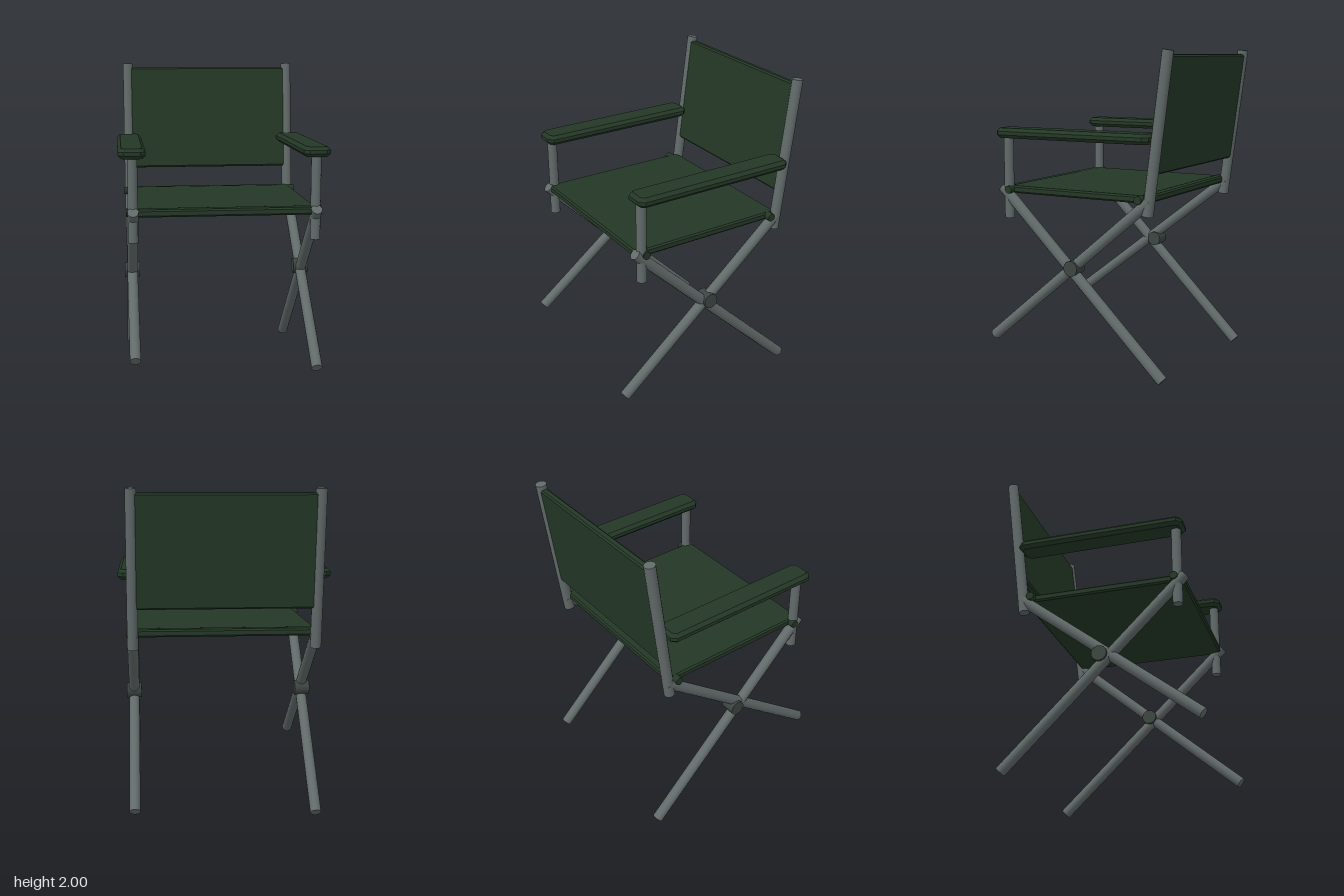
import * as THREE from 'three';

const mat = (name, color) => {
  const m = new THREE.MeshStandardMaterial({ color });
  m.name = name;
  return m;
};

export function createModel() {
  const chair = new THREE.Group();
  chair.name = 'foldingChair';
  const fabric = mat('dark green fabric', 0x243826);
  const metal = mat('grey metal', 0x626b6a);
  const joint = mat('dark grey joint', 0x3e4541);

  const add = (name, geometry, material) => {
    const mesh = new THREE.Mesh(geometry, material);
    mesh.name = name;
    chair.add(mesh);
    return mesh;
  };

  // Round bar between two points
  const bar = (name, a, b, r, material = metal) => {
    const from = new THREE.Vector3(...a), to = new THREE.Vector3(...b);
    const dir = to.clone().sub(from);
    const mesh = add(name, new THREE.CylinderGeometry(r, r, dir.length(), 14), material);
    mesh.position.copy(from).add(to).multiplyScalar(0.5);
    mesh.quaternion.setFromUnitVectors(new THREE.Vector3(0, 1, 0), dir.normalize());
    return mesh;
  };

  // Slab with chamfered edges and cut corners: width in x, depth in y, thickness in z
  const slab = (w, d, t, bevel, cut) => {
    const x = w / 2 - bevel, y = d / 2 - bevel;
    const outline = [
      [x - cut, -y], [x, -y + cut], [x, y - cut], [x - cut, y],
      [-x + cut, y], [-x, y - cut], [-x, -y + cut], [-x + cut, -y],
    ].map(([px, py]) => new THREE.Vector2(px, py));
    return new THREE.ExtrudeGeometry(new THREE.Shape(outline), {
      depth: t - 2 * bevel, bevelEnabled: true, bevelSize: bevel,
      bevelThickness: bevel, bevelSegments: 1,
    }).translate(0, 0, bevel - t / 2);
  };

  const X = 0.553;
  const sides = [
    { side: 'left', s: 1, frontFoot: 0.175, backFoot: 0.06 },
    { side: 'right', s: -1, frontFoot: 0.255, backFoot: 0.025 },
  ];
  for (const { side, s, frontFoot, backFoot } of sides) {
    const x = s * X;
    // Crossed legs, each side standing slightly differently
    bar(side + 'RearwardLeg', [x, 1.145, 0.54], [x, backFoot, -0.585], 0.034);
    bar(side + 'ForwardLeg', [x, 1.13, -0.5], [x, frontFoot, 0.625], 0.034);
    bar(side + 'Pivot', [x - 0.048, 0.682, 0.022], [x + 0.048, 0.682, 0.022], 0.048, joint);

    // Uprights
    bar(side + 'BackPost', [x, 1.04, -0.482], [x, 1.995, -0.606], 0.034);
    bar(side + 'ArmPost', [x, 0.955, 0.495], [x, 1.48, 0.495], 0.031);

    // Armrest pad
    const arm = add(side + 'Armrest', slab(0.164, 1.06, 0.062, 0.02, 0.02), fabric);
    arm.rotation.x = -Math.PI / 2;
    arm.position.set(s * 0.555, 1.49, 0.016);
  }

  // Seat sling and the two rods through its hems
  const seat = add('seat', slab(1.11, 1.02, 0.046, 0.01, 0.004), fabric);
  seat.rotation.x = -Math.PI / 2;
  seat.position.set(0, 1.134, 0.024);
  bar('frontSeatRod', [-0.592, 1.134, 0.48], [0.592, 1.134, 0.48], 0.025, fabric);
  bar('backSeatRod', [-0.592, 1.134, -0.435], [0.592, 1.134, -0.435], 0.025, fabric);

  // Backrest sling, leaning with the posts
  const back = add('backrest', slab(1.09, 0.69, 0.046, 0.01, 0.004), fabric);
  back.rotation.x = -Math.atan2(0.124, 0.955);
  back.position.set(0, 1.627, -0.558);

  return chair;
}
